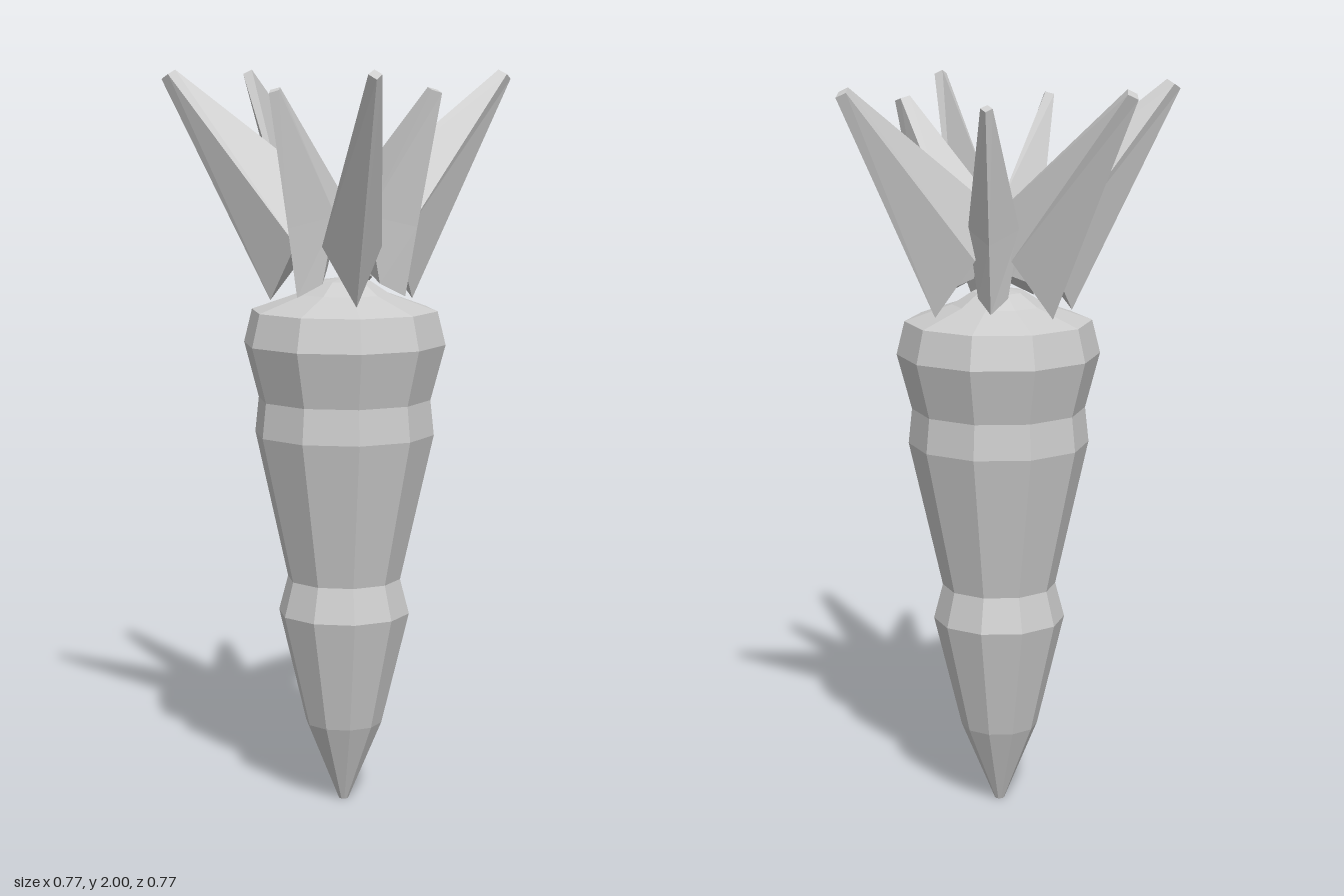
import * as THREE from 'three';

const SIDES = 10;
const CENTRE = { x: 0.0635, z: -0.015 };

// Loft of diamond sections. Each section: inner, side and outer corner as [radius, height], plus half width.
function leafGeometry(sections) {
  const pos = [];
  const rings = sections.map(({ inner, side, outer, half }) => [
    [0, inner[1], inner[0]],
    [half, side[1], side[0]],
    [0, outer[1], outer[0]],
    [-half, side[1], side[0]],
  ]);
  const tri = (a, b, c) => pos.push(...a, ...b, ...c);
  for (let r = 0; r < rings.length - 1; r++) {
    const low = rings[r], high = rings[r + 1];
    for (let i = 0; i < 4; i++) {
      const j = (i + 1) % 4;
      tri(low[i], high[i], low[j]);
      tri(low[j], high[i], high[j]);
    }
  }
  const base = rings[0], tip = rings[rings.length - 1];
  tri(base[0], base[1], base[2]);
  tri(base[0], base[2], base[3]);
  tri(tip[0], tip[3], tip[2]);
  tri(tip[0], tip[2], tip[1]);
  const geometry = new THREE.BufferGeometry();
  geometry.setAttribute('position', new THREE.Float32BufferAttribute(pos, 3));
  geometry.computeVertexNormals();
  return geometry;
}

export function createModel() {
  const model = new THREE.Group();
  model.name = 'carrot';
  const grey = new THREE.MeshStandardMaterial({ color: 0xcccccc, flatShading: true });
  grey.name = 'grey';

  // Ringed, tapering root with a raised crown
  const profile = [
    [0, 0], [0.013, 0], [0.105, 0.22], [0.18, 0.53], [0.155, 0.625],
    [0.245, 1.025], [0.235, 1.12], [0.275, 1.27], [0.253, 1.36],
    [0.125, 1.405], [0.07, 1.44], [0, 1.45],
  ].map(([r, y]) => new THREE.Vector2(r, y));
  const root = new THREE.Mesh(new THREE.LatheGeometry(profile, SIDES), grey);
  root.name = 'root';
  root.position.set(CENTRE.x, 0, CENTRE.z);
  model.add(root);

  // Long spreading leaves and short upright leaves
  const longLeaf = leafGeometry([
    { inner: [0, 1.65], side: [0.125, 1.54], outer: [0.2, 1.385], half: 0.08 },
    { inner: [0.453, 2.0], side: [0.47, 1.988], outer: [0.49, 1.975], half: 0.018 },
  ]);
  const shortLeaf = leafGeometry([
    { inner: [0.07, 1.47], side: [0.13, 1.44], outer: [0.185, 1.405], half: 0.04 },
    { inner: [0, 1.66], side: [0.11, 1.62], outer: [0.22, 1.59], half: 0.068 },
    { inner: [0.248, 1.955], side: [0.268, 1.948], outer: [0.29, 1.94], half: 0.016 },
  ]);

  // Tip directions from the crown, as x and z
  const addLeaves = (name, geometry, directions) => directions.forEach(([x, z], i) => {
    const leaf = new THREE.Mesh(geometry, grey);
    leaf.name = name + (i + 1);
    leaf.position.set(CENTRE.x, 0, CENTRE.z);
    leaf.rotation.y = Math.atan2(x, z);
    model.add(leaf);
  });
  addLeaves('longLeaf', longLeaf, [[0.31, -0.355], [0.274, 0.38], [-0.433, 0.182], [-0.416, -0.225]]);
  addLeaves('shortLeaf', shortLeaf, [[0.267, 0.012], [-0.073, 0.26], [-0.045, -0.27]]);

  return model;
}
